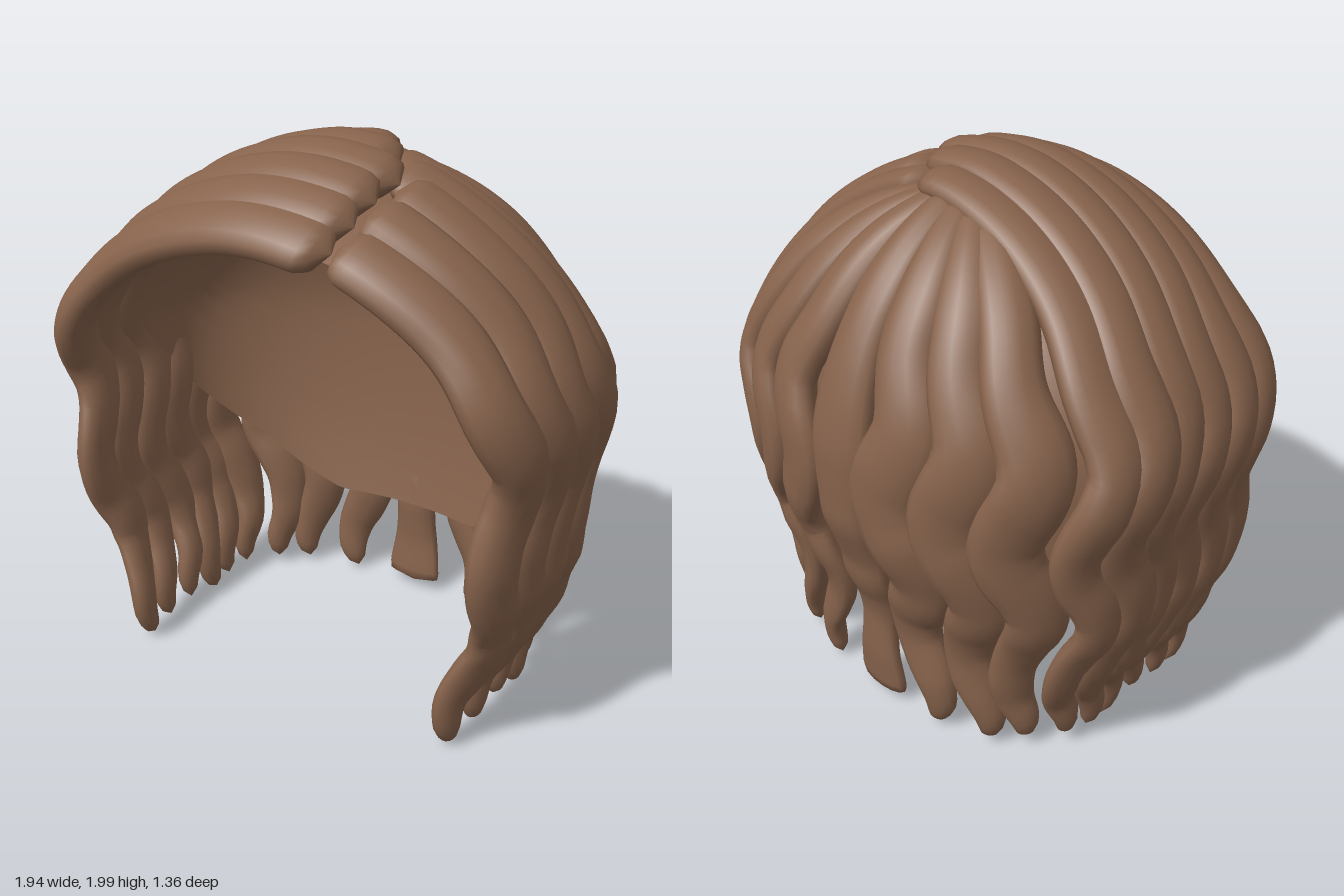
import * as THREE from 'three';

const RING_Y = 1.15; // height where the hair is widest
const V = (x, y, z) => new THREE.Vector3(x, y, z);
const { smoothstep, lerp } = THREE.MathUtils;

// piecewise smooth interpolation through [position, value] pairs
function keyed(keys, s) {
  for (let i = 1; i < keys.length; i++) {
    const [a, va] = keys[i - 1], [b, vb] = keys[i];
    if (s <= b) return lerp(va, vb, smoothstep(s, a, b));
  }
  return keys[keys.length - 1][1];
}

// how far the falling hair keeps from the middle, by height
const FALL_X = [[0.04, 0.74], [0.2, 0.76], [0.4, 0.87], [0.62, 0.93], [0.85, 0.94], [1.15, 1]];
const FALL_BACK = [[0.04, 0.75], [0.2, 0.78], [0.42, 0.77], [0.65, 0.88], [0.9, 0.99], [1.15, 1]];

// path of a lock: an arc over the dome, then a wavy fall that narrows inwards
function lockPath({ c, apexY, apexZ, rx, rz, t0, tip, wave, phase }) {
  const pts = [];
  const k = rz < 0 ? rz / 0.36 : 0, o = V(rx / 0.77, 0, k).normalize();
  const m = rx >= 0 ? 1 : -1;
  const dir = V(-o.z * m, 0, o.x * m); // towards the front, along the head
  const add = (x, y, z) => {
    const amp = wave * (1 - smoothstep(y, 1.2, 1.75));
    const w = amp * Math.cos((y - 0.74 + phase) * Math.PI * 2 / 0.6);
    pts.push(V(x, y, z).addScaledVector(dir, w));
  };
  for (let i = 0; i < 14; i++) {
    const t = lerp(t0, Math.PI / 2, i / 14), cos = Math.cos(t), sin = Math.sin(t);
    const f = 1 - 0.06 * Math.max(0, Math.sin(2 * t));
    add(c.x + (rx - c.x) * sin * f,
      RING_Y + (apexY - RING_Y) * cos * f,
      c.z + (apexZ - c.z) * cos + (rz - c.z) * sin * (rz < c.z ? f : 1));
  }
  const inward = smoothstep(Math.abs(rx), 0.3, 0.85); // back locks fall straighter
  for (let i = 0; i <= 12; i++) {
    const f = i / 12, y = lerp(RING_Y, tip, f);
    add(rx * lerp(1, keyed(FALL_X, y), inward), y,
      rz * (rz < 0 ? keyed(FALL_BACK, y) : 1 - 0.13 * f));
  }
  return new THREE.CatmullRomCurve3(pts);
}

// sweep a flattened oval along the path, rounded at both ends
function lockGeometry(o) {
  const curve = lockPath(o), rows = 72, sides = 14, pos = [], idx = [];
  for (let i = 0; i <= rows; i++) {
    const s = i / rows, p = curve.getPointAt(s), T = curve.getTangentAt(s);
    const n = V(p.x - o.c.x * 0.5, p.y - Math.min(p.y, RING_Y), p.z - o.c.z * 0.5);
    const u = n.cross(T).normalize(), v = T.clone().cross(u);
    const a = Math.min(1, s / 0.035), b = Math.min(1, (1 - s) / o.round);
    const end = Math.sqrt(Math.max(0, 1 - (1 - a) ** 2)) * Math.sqrt(Math.max(0, 1 - (1 - b) ** 2));
    const w = keyed(o.widths, s) * end;
    const d = keyed([[0, 0.06], [0.25, 0.068], [0.5, 0.07], [0.7, 0.057], [1, 0.04]], s) * end;
    for (let j = 0; j < sides; j++) {
      const q = j / sides * Math.PI * 2;
      const r = p.clone().addScaledVector(u, w * Math.cos(q)).addScaledVector(v, d * Math.sin(q));
      pos.push(r.x, r.y, r.z);
      if (i < rows) {
        const A = i * sides + j, B = i * sides + (j + 1) % sides;
        idx.push(A, B, A + sides, B, B + sides, A + sides);
      }
    }
  }
  return build(pos, idx);
}

function build(pos, idx) {
  const g = new THREE.BufferGeometry();
  g.setAttribute('position', new THREE.Float32BufferAttribute(pos, 3));
  g.setIndex(idx);
  g.computeVertexNormals();
  return g;
}

// inner cap: an egg-shaped bowl, its edge sloping from forehead to a flat nape
function capGeometry() {
  const cols = 96, rows = 24, pos = [], idx = [];
  const at = (phi, th) => {
    const f = 1 - 0.06 * Math.max(0, Math.sin(2 * th));
    const sx = Math.sin(th) * Math.sin(phi) * f, sz = Math.sin(th) * Math.cos(phi) * f;
    const cy = Math.cos(th) * f;
    return V(0.83 * sx, RING_Y + cy * (cy > 0 ? 0.72 : 1.4), sz * (sz > 0 ? 0.95 : 0.49));
  };
  const edge = z => Math.max(0.4, Math.min(1.18 + 2.08 * z, 0.94 + 1.2 * z), 0.84 + 1.75 * z);
  for (let i = 0; i <= cols; i++) {
    const phi = i / cols * Math.PI * 2;
    let lo = 0, hi = 2.4;
    for (let k = 0; k < 30; k++) {
      const mid = (lo + hi) / 2, p = at(phi, mid);
      if (p.y > edge(p.z)) lo = mid; else hi = mid;
    }
    for (let j = 0; j <= rows; j++) {
      const p = at(phi, lo * j / rows);
      pos.push(p.x, p.y, p.z);
      if (i < cols && j < rows) {
        const A = i * (rows + 1) + j, B = A + rows + 1;
        idx.push(A, A + 1, B, B, A + 1, B + 1);
      }
    }
  }
  return build(pos, idx);
}

export function createModel() {
  const group = new THREE.Group();
  const hair = new THREE.MeshStandardMaterial({ color: 0x87634c, side: THREE.DoubleSide });
  hair.name = 'brown hair';
  const add = (name, geometry) => {
    const mesh = new THREE.Mesh(geometry, hair);
    mesh.name = name;
    group.add(mesh);
  };
  add('innerCap', capGeometry());

  // side locks, combed away from a parting: [apexY, apexZ, ringX, ringZ, start angle]
  const side = (name, rows, sign) => rows.forEach(([apexY, apexZ, x, rz, t0], i) =>
    add(name + (i + 1), lockGeometry({
      c: V(0, 0, rz), apexY, apexZ, rx: sign * x, rz, t0,
      tip: 0.01 + 0.015 * (i % 3), wave: 0.042, phase: 0.03 * (i % 3), round: 0.05,
      widths: [[0, 0.115], [0.25, 0.115], [0.5, 0.115], [0.8, 0.105], [1, 0.05]],
    })));
  side('rightSideLock', [
    [1.79, 0.57, 0.88, 0.46, -0.35], [1.85, 0.46, 0.9, 0.31, -0.35], [1.9, 0.34, 0.9, 0.15, -0.35],
    [1.93, 0.2, 0.9, 0, -0.35], [1.935, 0.06, 0.9, -0.15, -0.25], [1.915, -0.07, 0.86, -0.29, -0.15],
  ], -1);
  side('leftSideLock', [
    [1.81, 0.51, 0.88, 0.41, 0.34], [1.89, 0.35, 0.9, 0.23, 0.34], [1.93, 0.18, 0.9, 0.05, 0.34],
    [1.93, 0.07, 0.89, -0.12, 0.25], [1.91, -0.02, 0.82, -0.28, 0.15],
  ], 1);

  // back locks, fanning out from under the crown
  const back = (name, x, rz, i) => {
    const cx = -0.04 + 0.12 * x;
    add(name, lockGeometry({
      c: V(cx, 0, -0.07), apexY: 1.89 - 0.04 * Math.abs(x), apexZ: -0.07, rx: x, rz, t0: 0.04,
      tip: 0.02 + 0.01 * i, wave: x ? 0.045 : 0, phase: 0.03 * i,
      round: x ? 0.05 : 0.02,
      widths: [[0, 0.07], [0.22, 0.1], [0.46, 0.135], [0.7, 0.115], [0.85, 0.085], [1, x ? 0.05 : 0.12]],
    }));
  };
  back('centreBackLock', 0, -0.61, 1);
  [[0.25, -0.6], [0.47, -0.53], [0.66, -0.43]].forEach(([x, z], i) => {
    back('leftBackLock' + (i + 1), x, z, i);
    back('rightBackLock' + (i + 1), -x, z, i);
  });
  return group;
}
